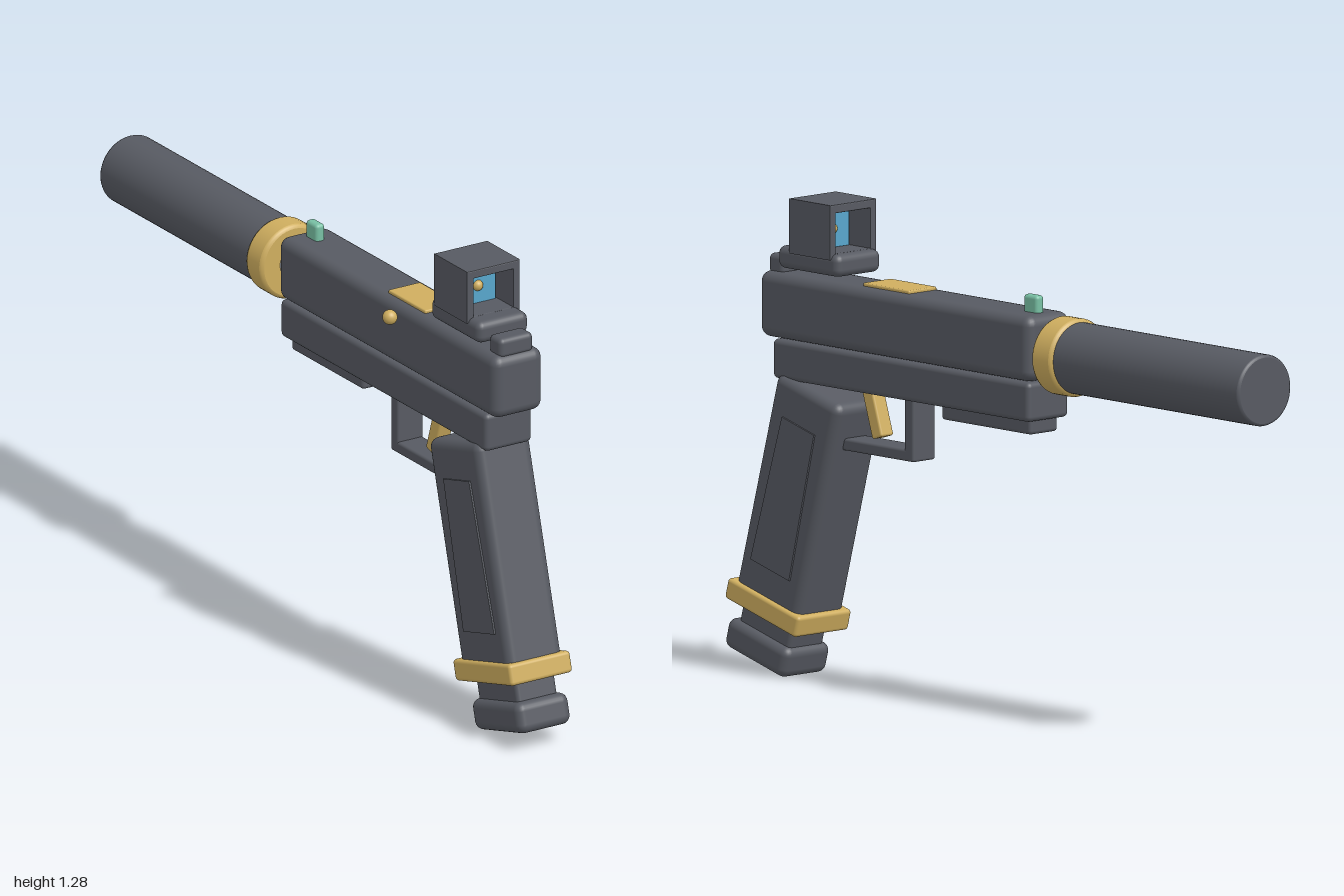
import * as THREE from 'three';
import { RoundedBoxGeometry } from 'three/addons/geometries/RoundedBoxGeometry.js';

const mat = (name, color) => new THREE.MeshStandardMaterial({ name, color });

export function createModel() {
  const model = new THREE.Group();
  model.name = 'pistol';
  const body = new THREE.Group();
  body.name = 'body';
  body.position.x = 0.007;
  model.add(body);

  const dark = mat('darkGrey', 0x575a62);
  const gold = mat('gold', 0xcfae5f);
  const steel = mat('steel', 0xb9bcc4);
  const glass = mat('lensBlue', 0x58a6cc);
  const green = mat('sightGreen', 0x78c0a4);

  const add = (name, geometry, material, x, y, z, parent = body) => {
    const mesh = new THREE.Mesh(geometry, material);
    mesh.name = name;
    mesh.position.set(x, y, z);
    parent.add(mesh);
    return mesh;
  };
  // Rounded block of size w, h, d with edge radius r
  const block = (name, w, h, d, r, material, x, y, z, parent) =>
    add(name, new RoundedBoxGeometry(w, h, d, 3, r), material, x, y, z, parent);
  // Round part along z with bevelled ends, from z0 (rear) to z1 (muzzle side)
  const round = (name, r, z0, z1, bevel, material) => {
    const h = z0 - z1, b = bevel;
    const rings = [[0, 0], [r - b, 0], [r - b, 0], [r - b * 0.3, b * 0.3], [r, b], [r, b],
      [r, h - b], [r, h - b], [r - b * 0.3, h - b * 0.3], [r - b, h], [r - b, h], [0, h]];
    const geo = new THREE.LatheGeometry(rings.map(p => new THREE.Vector2(...p)), 48);
    geo.rotateX(-Math.PI / 2);
    return add(name, geo, material, 0, 0.976, z0);
  };

  // Slide, frame and accessory rail
  block('slide', 0.156, 0.175, 1.045, 0.028, dark, 0, 0.991, 0.348);
  block('frame', 0.147, 0.105, 0.988, 0.014, dark, 0, 0.85, 0.326);
  block('rail', 0.1, 0.06, 0.345, 0.01, dark, 0, 0.79, 0.022);
  block('ejectionPort', 0.1, 0.012, 0.178, 0.004, gold, -0.002, 1.081, 0.408);
  add('chargingKnob', new THREE.SphereGeometry(0.02, 24, 16), gold, -0.104, 1.05, 0.407);

  // Barrel and suppressor
  round('barrel', 0.045, -0.15, -0.24, 0.002, steel);
  round('suppressorCollar', 0.104, -0.21, -0.287, 0.01, gold);
  round('suppressor', 0.095, -0.28, -1.0, 0.007, dark);

  // Trigger and guard
  block('guardPost', 0.08, 0.19, 0.036, 0.007, dark, 0, 0.725, 0.329);
  block('guardBar', 0.08, 0.032, 0.29, 0.007, dark, 0, 0.646, 0.456);
  const trigger = block('trigger', 0.045, 0.14, 0.04, 0.006, gold, 0, 0.741, 0.492);
  trigger.rotation.x = 0.31;

  // Raked grip with side panels, band and magazine
  const grip = new THREE.Group();
  grip.name = 'grip';
  grip.position.set(0, 0.778, 0.674);
  grip.rotation.x = -0.268;
  body.add(grip);
  block('gripBody', 0.17, 0.625, 0.252, 0.026, dark, 0, -0.305, 0, grip);
  const panel = new THREE.Shape([[-0.064, 0.205], [0.064, 0.205], [0.077, -0.205], [-0.077, -0.205]]
    .map(p => new THREE.Vector2(...p)));
  for (const s of [-1, 1]) {
    const geo = new THREE.ExtrudeGeometry(panel, { depth: 0.012, bevelEnabled: false });
    geo.translate(0, 0, -0.006);
    geo.rotateY(Math.PI / 2);
    add('gripPanel', geo, dark, s * 0.084, -0.302, 0.003, grip);
  }
  block('gripBand', 0.193, 0.058, 0.284, 0.01, gold, 0, -0.613, 0, grip);
  block('magazine', 0.125, 0.13, 0.2, 0.012, dark, 0, -0.66, 0.005, grip);
  block('magazineBase', 0.164, 0.084, 0.242, 0.024, dark, 0, -0.734, 0.01, grip);

  // Iron sights
  block('rearSight', 0.105, 0.055, 0.058, 0.014, dark, 0, 1.096, 0.829);
  block('frontSight', 0.028, 0.056, 0.054, 0.01, green, 0, 1.096, -0.11);

  // Optic: base, hollow housing, lens and dot
  block('opticBase', 0.16, 0.06, 0.236, 0.02, dark, 0, 1.124, 0.678);
  const housing = new THREE.Shape([[-0.08, -0.07], [0.08, -0.07], [0.08, 0.07], [-0.08, 0.07]]
    .map(p => new THREE.Vector2(...p)));
  housing.holes.push(new THREE.Path([[-0.065, -0.06], [-0.065, 0.053], [0.065, 0.053], [0.065, -0.06]]
    .map(p => new THREE.Vector2(...p))));
  const housingGeo = new THREE.ExtrudeGeometry(housing,
    { depth: 0.154, bevelThickness: 0.003, bevelSize: 0.003, bevelSegments: 2 });
  housingGeo.translate(0, 0, -0.077);
  add('opticHousing', housingGeo, dark, 0, 1.212, 0.665);
  add('lens', new THREE.BoxGeometry(0.112, 0.098, 0.008), glass, 0, 1.205, 0.665);
  add('aimingDot', new THREE.SphereGeometry(0.015, 20, 14), gold, 0, 1.205, 0.668);

  return model;
}
